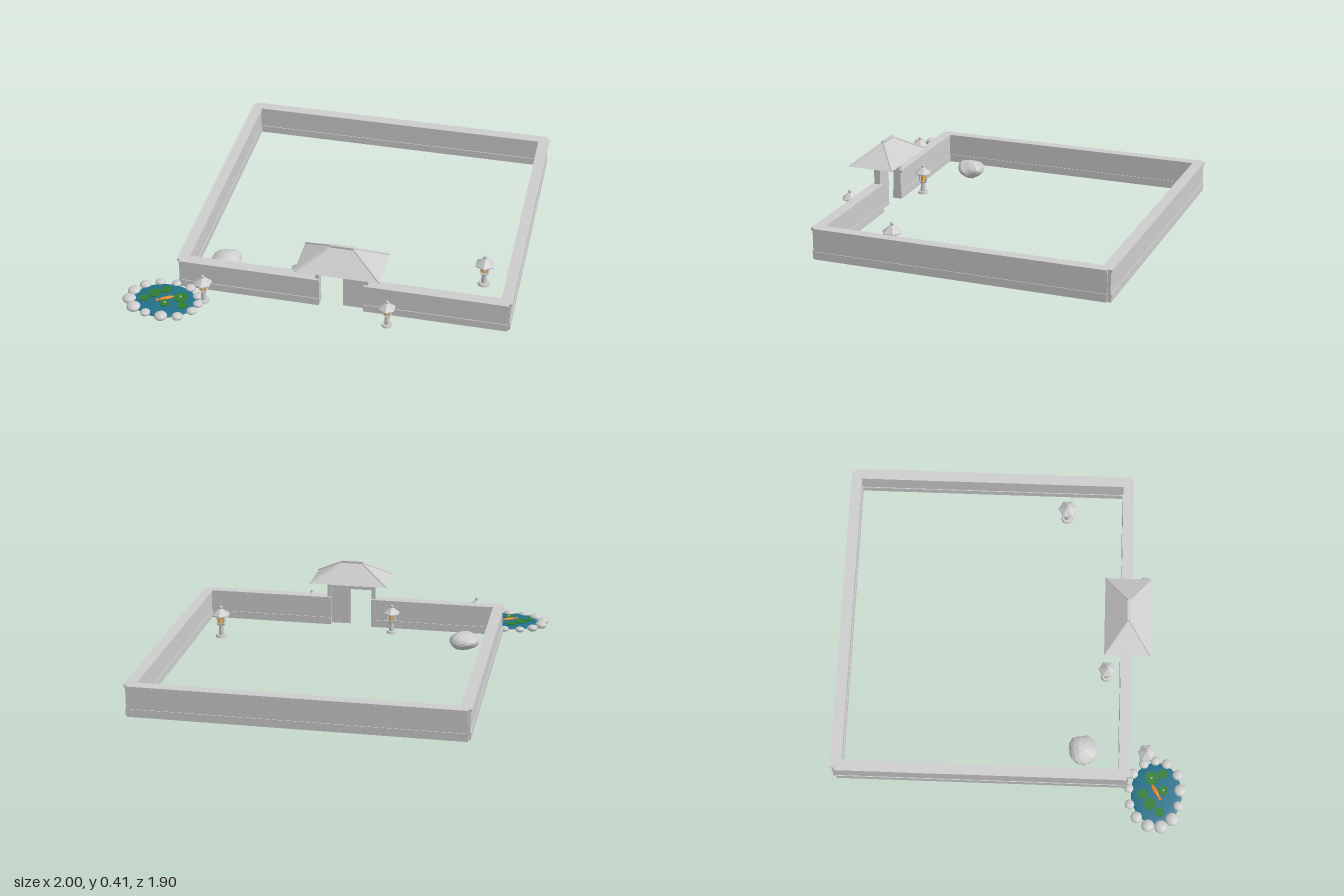
import * as THREE from 'three';

const mat = (name, color) => {
  const m = new THREE.MeshStandardMaterial({ color });
  m.name = name;
  return m;
};

export function createModel() {
  const stone = mat('pale stone', 0xcccccc);
  const water = mat('pond water', 0x22708a);
  const green = mat('lily green', 0x2f7d32);
  const orange = mat('fish orange', 0xe8862a);
  const glow = mat('lantern glow', 0xf0b445);
  const pink = mat('blossom', 0xf0c0d0);

  const root = new THREE.Group();
  root.name = 'walledGarden';
  const group = (name, parent = root) => {
    const g = new THREE.Group();
    g.name = name;
    parent.add(g);
    return g;
  };
  const add = (parent, name, geo, material, x = 0, y = 0, z = 0) => {
    const m = new THREE.Mesh(geo, material);
    m.name = name;
    m.position.set(x, y, z);
    parent.add(m);
    return m;
  };
  // Box given by its minimum and maximum on each axis
  const box = (parent, name, x0, x1, y0, y1, z0, z1) =>
    add(parent, name, new THREE.BoxGeometry(x1 - x0, y1 - y0, z1 - z0), stone,
      (x0 + x1) / 2, (y0 + y1) / 2, (z0 + z1) / 2);
  const flat = (geo) => {
    const g = geo.index ? geo.toNonIndexed() : geo;
    g.computeVertexNormals();
    return g;
  };
  const bar = (parent, name, a, b, r) => {
    const m = add(parent, name, new THREE.CylinderGeometry(r, r, a.distanceTo(b), 8), stone);
    m.position.copy(a).lerp(b, 0.5);
    m.quaternion.setFromUnitVectors(new THREE.Vector3(0, 1, 0), b.clone().sub(a).normalize());
    return m;
  };

  // Perimeter walls: plinth, body and coping
  const layers = [['plinth', 0.026, 0.068, 0.026], ['wallBody', 0.068, 0.177, 0.022], ['coping', 0.177, 0.192, 0.03]];
  const wall = (name, alongX, centre, a, b) => {
    const g = group(name);
    for (const [part, y0, y1, h] of layers) {
      if (alongX) box(g, part, a, b, y0, y1, centre - h, centre + h);
      else box(g, part, centre - h, centre + h, y0, y1, a, b);
    }
  };
  const FZ = 0.609;
  wall('backWall', true, -0.92, -0.745, 0.985);
  wall('rightWall', false, -0.73, -0.927, 0.62);
  wall('leftWall', false, 0.97, -0.927, 0.62);
  wall('frontWallRight', true, FZ, -0.745, 0.003);
  wall('frontWallLeft', true, FZ, 0.237, 0.985);

  // Gatehouse
  const gate = group('gate');
  for (const x of [-0.009, 0.249]) box(gate, 'gatePost', x - 0.011, x + 0.011, 0.026, 0.275, FZ - 0.017, FZ + 0.017);
  box(gate, 'upperBeam', -0.035, 0.268, 0.275, 0.3, FZ - 0.02, FZ + 0.02);
  box(gate, 'lowerBeam', 0, 0.24, 0.244, 0.262, FZ - 0.012, FZ + 0.012);
  for (let i = 0; i < 9; i++) {
    const x = 0.012 + i * 0.027;
    box(gate, 'strut', x - 0.004, x + 0.004, 0.262, 0.275, FZ - 0.008, FZ + 0.008);
  }
  box(gate, 'door', 0.125, 0.237, 0.032, 0.245, FZ - 0.006, FZ + 0.006);

  // Hipped roof: the top of a box drawn in to the ridge
  const roofGeo = new THREE.BoxGeometry(0.444, 0.1, 0.25);
  const p = roofGeo.attributes.position;
  for (let i = 0; i < p.count; i++) {
    if (p.getY(i) > 0) {
      p.setX(i, Math.sign(p.getX(i)) * 0.058);
      p.setZ(i, Math.sign(p.getZ(i)) * 0.004);
    }
  }
  add(gate, 'hipRoof', flat(roofGeo), stone, 0.119, 0.352, FZ);
  box(gate, 'ridge', 0.057, 0.181, 0.395, 0.41, FZ - 0.009, FZ + 0.009);
  for (const sx of [-1, 1]) for (const sz of [-1, 1]) {
    bar(gate, 'hipRidge', new THREE.Vector3(0.119 + sx * 0.058, 0.402, FZ + sz * 0.003),
      new THREE.Vector3(0.119 + sx * 0.22, 0.304, FZ + sz * 0.123), 0.005);
  }

  // Stone lanterns
  const lantern = (x, z, s) => {
    const g = group('lantern');
    g.position.set(x, 0.026, z);
    g.scale.setScalar(s);
    const ring = (name, r0, r1, y0, y1, n, material = stone) =>
      add(g, name, flat(new THREE.CylinderGeometry(r1, r0, y1 - y0, n)), material, 0, (y0 + y1) / 2, 0);
    ring('lanternFoot', 0.029, 0.025, 0, 0.012, 12);
    ring('lanternStem', 0.014, 0.011, 0.012, 0.06, 12);
    ring('lanternPlate', 0.017, 0.026, 0.06, 0.07, 6);
    ring('lanternLight', 0.016, 0.016, 0.07, 0.112, 6, glow);
    for (let i = 0; i < 6; i++) {
      const a = i * Math.PI / 3;
      add(g, 'lanternPillar', new THREE.BoxGeometry(0.005, 0.042, 0.005), stone,
        Math.sin(a) * 0.019, 0.091, Math.cos(a) * 0.019).rotation.y = a;
    }
    ring('lanternEave', 0.045, 0.045, 0.109, 0.114, 6);
    ring('lanternRoof', 0.045, 0.008, 0.114, 0.142, 6);
    add(g, 'finial', new THREE.SphereGeometry(0.009, 10, 8), stone, 0, 0.15, 0);
  };
  lantern(-0.13, 0.51, 1.06);
  lantern(0.81, 0.272, 1.17);
  lantern(0.378, 0.717, 1);
  lantern(-0.59, 0.728, 1.06);

  // Boulder inside the wall
  const rockGeo = new THREE.IcosahedronGeometry(1, 2);
  const rp = rockGeo.attributes.position;
  for (let i = 0; i < rp.count; i++) {
    const x = rp.getX(i), y = rp.getY(i), z = rp.getZ(i);
    const k = 0.96 + 0.06 * Math.sin(4 * x + 2 * z + 1) + 0.05 * Math.sin(5 * z - 3 * y);
    rp.setXYZ(i, x * k, y * k, z * k);
  }
  add(root, 'boulder', flat(rockGeo), stone, -0.56, 0.048, 0.395).scale.set(0.09, 0.049, 0.083);

  // Pond: basin below, gently domed water above
  const pond = group('pond');
  pond.position.set(-0.785, 0.04, 0.788);
  const half = (top) => new THREE.SphereGeometry(1, 40, 10, 0, Math.PI * 2, top ? 0 : Math.PI / 2, Math.PI / 2);
  add(pond, 'basin', half(false), stone).scale.set(0.17, 0.014, 0.136);
  add(pond, 'water', half(true), water).scale.set(0.17, 0.013, 0.136);

  // Rim stones: x, z, radius
  const rim = [
    [-0.135, -0.105, 0.031], [-0.066, -0.142, 0.026], [0.022, -0.147, 0.025], [0.104, -0.125, 0.028],
    [-0.178, -0.044, 0.034], [-0.182, 0.026, 0.036], [-0.14, 0.085, 0.037], [-0.066, 0.118, 0.027],
    [0.02, 0.128, 0.034], [0.104, 0.114, 0.029], [0.163, 0.055, 0.027], [0.178, -0.006, 0.026],
    [0.16, -0.068, 0.027]];
  for (const [x, z, r] of rim) {
    add(pond, 'rimStone', new THREE.IcosahedronGeometry(1, 2), stone, x, 0.004, z).scale.set(r, r * 0.6, r);
  }

  // Lily pads and blossoms
  const pads = [[-0.062, -0.034, 0.033, 0], [-0.01, -0.075, 0.027, 0], [0.08, -0.027, 0.037, 1],
    [0.014, 0.036, 0.027, 1], [0.105, 0.032, 0.026, 0], [-0.104, 0.016, 0.025, 0]];
  for (const [x, z, r, bloom] of pads) {
    const y = 0.013 * Math.sqrt(1 - (x / 0.17) ** 2 - (z / 0.136) ** 2) + 0.003;
    add(pond, 'lilyPad', new THREE.CylinderGeometry(r, r, 0.005, 16), green, x, y, z);
    if (bloom) add(pond, 'blossom', new THREE.SphereGeometry(0.006, 8, 6), pink, x, y + 0.005, z);
  }

  // Fish with a fan tail
  const fish = group('fish', pond);
  fish.position.set(0.01, 0.015, -0.006);
  fish.rotation.y = 0.52;
  add(fish, 'fishBody', new THREE.SphereGeometry(1, 16, 10), orange).scale.set(0.042, 0.008, 0.011);
  const tail = add(fish, 'fishTail', new THREE.ConeGeometry(0.013, 0.024, 8), orange, -0.044, 0, 0);
  tail.rotation.z = -Math.PI / 2;
  tail.scale.set(0.3, 1, 1);

  return root;
}
